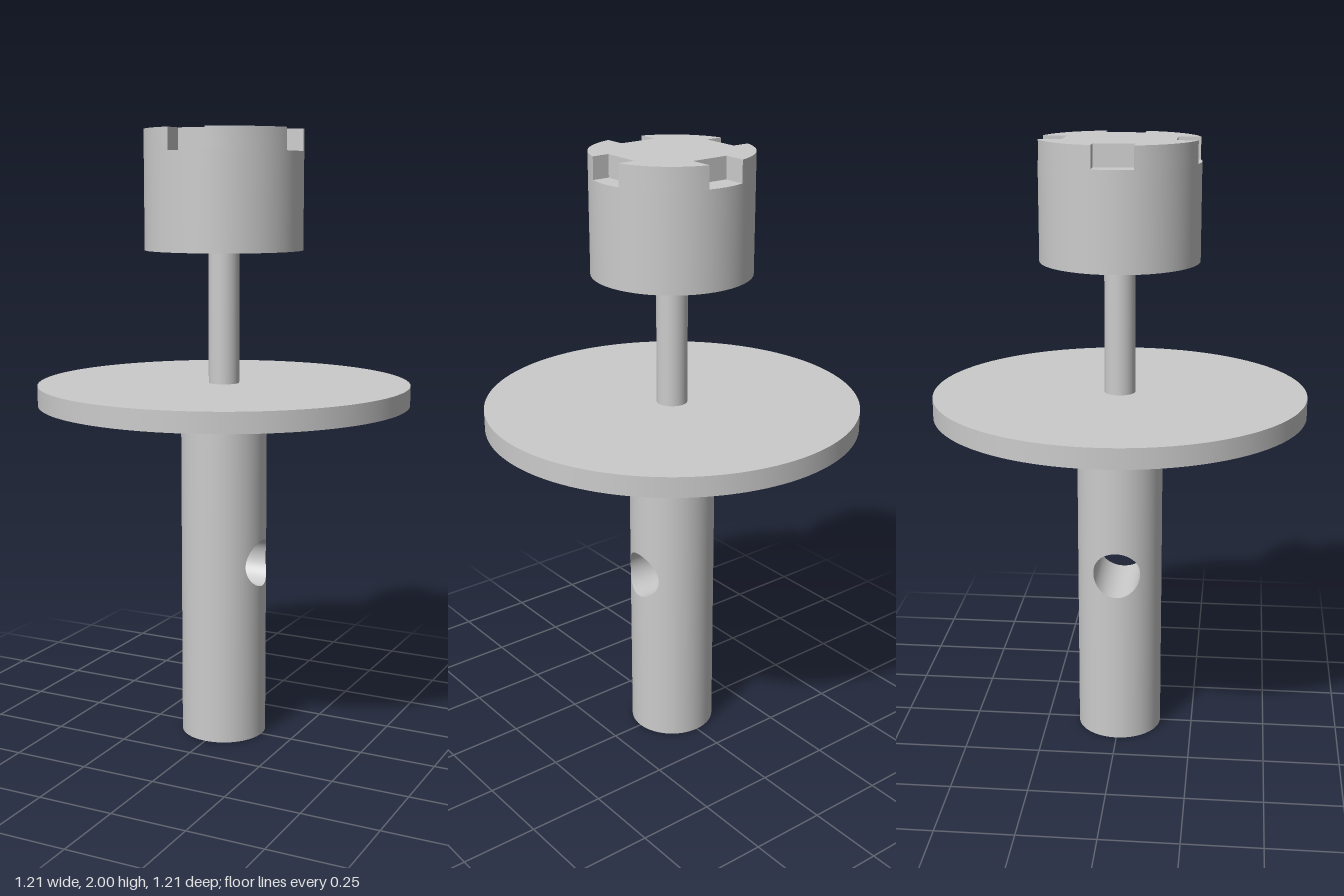
import * as THREE from 'three';
import { ParametricGeometry } from 'three/addons/geometries/ParametricGeometry.js';
import { toCreasedNormals } from 'three/addons/utils/BufferGeometryUtils.js';

const SHAFT_R = 0.141, SHAFT_TOP = 1.125, HOLE_R = 0.078, HOLE_Y = 0.597, PATCH = 0.2;
const HEAD_R = 0.255, NOTCH_Y = 1.93;
const material = new THREE.MeshStandardMaterial({ color: 0xcccccc });

function add(parent, name, geometry) {
  const mesh = new THREE.Mesh(geometry, material);
  mesh.name = name;
  parent.add(mesh);
  return mesh;
}

// Upright cylinder between two heights
function cylinder(radius, y0, y1, segments = 64, open = false) {
  return new THREE.CylinderGeometry(radius, radius, y1 - y0, segments, 1, open).translate(0, (y0 + y1) / 2, 0);
}

// Flat disc facing down
function bottomCap(radius, y, segments = 64) {
  return new THREE.CircleGeometry(radius, segments).rotateX(Math.PI / 2).translate(0, y, 0);
}

// Square counterpart of the cosine, p running 0..4 around the square
function squareWave(p) {
  const q = ((p % 4) + 4) % 4;
  return THREE.MathUtils.clamp(2 * (1 - Math.min(q, 4 - q)), -1, 1);
}

// Half of the shaft wall, blended from the round hole to a square border
function holedWall(u, v, target) {
  const a = u * Math.PI * 2;
  const holeTheta = Math.asin((HOLE_R * Math.cos(a)) / SHAFT_R);
  const theta = THREE.MathUtils.lerp(holeTheta, squareWave(u * 4) * Math.PI / 2, v);
  const y = THREE.MathUtils.lerp(HOLE_R * Math.sin(a), squareWave(u * 4 - 1) * PATCH, v);
  target.set(SHAFT_R * Math.cos(theta), HOLE_Y + y, SHAFT_R * Math.sin(theta));
}

// Bore running through the shaft along x
function bore(u, v, target) {
  const a = u * Math.PI * 2, z = HOLE_R * Math.cos(a);
  const x = Math.sqrt(SHAFT_R ** 2 - z ** 2) * (2 * v - 1);
  target.set(x, HOLE_Y + HOLE_R * Math.sin(a), z);
}

function createShaft() {
  const shaft = new THREE.Group();
  shaft.name = 'shaft';
  add(shaft, 'shaftLower', cylinder(SHAFT_R, 0, HOLE_Y - PATCH, 64, true));
  add(shaft, 'shaftUpper', cylinder(SHAFT_R, HOLE_Y + PATCH, SHAFT_TOP, 64, true));
  add(shaft, 'shaftBottom', bottomCap(SHAFT_R, 0));
  for (const [name, turn] of [['holedWallLeft', 0], ['holedWallRight', Math.PI]]) {
    add(shaft, name, new ParametricGeometry(holedWall, 128, 16)).rotation.y = turn;
  }
  add(shaft, 'crossHole', new ParametricGeometry(bore, 128, 2));
  return shaft;
}

// Round outline with four rectangular notches
function notchedOutline() {
  const half = 0.064, steps = 20, points = [];
  const notches = [[0.19, 0], [0.172, 0.006], [0.19, 0], [0.178, -0.006]]; // inner reach, sideways shift
  const edgeAngle = (i, side) => i * Math.PI / 2 + Math.asin((notches[i % 4][1] + side * half) / HEAD_R);
  notches.forEach(([inner, shift], i) => {
    const q = i * Math.PI / 2;
    for (const side of [-1, 1]) {
      points.push(new THREE.Vector2(inner, shift + side * half).rotateAround(new THREE.Vector2(), q));
    }
    const start = edgeAngle(i, 1);
    const end = i < 3 ? edgeAngle(i + 1, -1) : edgeAngle(0, -1) + Math.PI * 2;
    for (let k = 0; k <= steps; k++) {
      const a = start + (end - start) * k / steps;
      points.push(new THREE.Vector2(HEAD_R * Math.cos(a), HEAD_R * Math.sin(a)));
    }
  });
  return new THREE.Shape(points);
}

function createHead() {
  const head = new THREE.Group();
  head.name = 'head';
  add(head, 'headBody', cylinder(HEAD_R, 1.62, NOTCH_Y, 96));
  const crown = new THREE.ExtrudeGeometry(notchedOutline(), { depth: 2 - NOTCH_Y, bevelEnabled: false });
  crown.rotateX(-Math.PI / 2).translate(0, NOTCH_Y, 0);
  add(head, 'notchedCrown', toCreasedNormals(crown, 0.5));
  return head;
}

export function createModel() {
  const model = new THREE.Group();
  model.name = 'flangedSpindle';
  model.add(createShaft());
  add(model, 'flange', cylinder(0.606, SHAFT_TOP, 1.19, 128));
  add(model, 'neck', cylinder(0.05, 1.19, 1.62, 48, true));
  model.add(createHead());
  return model;
}
